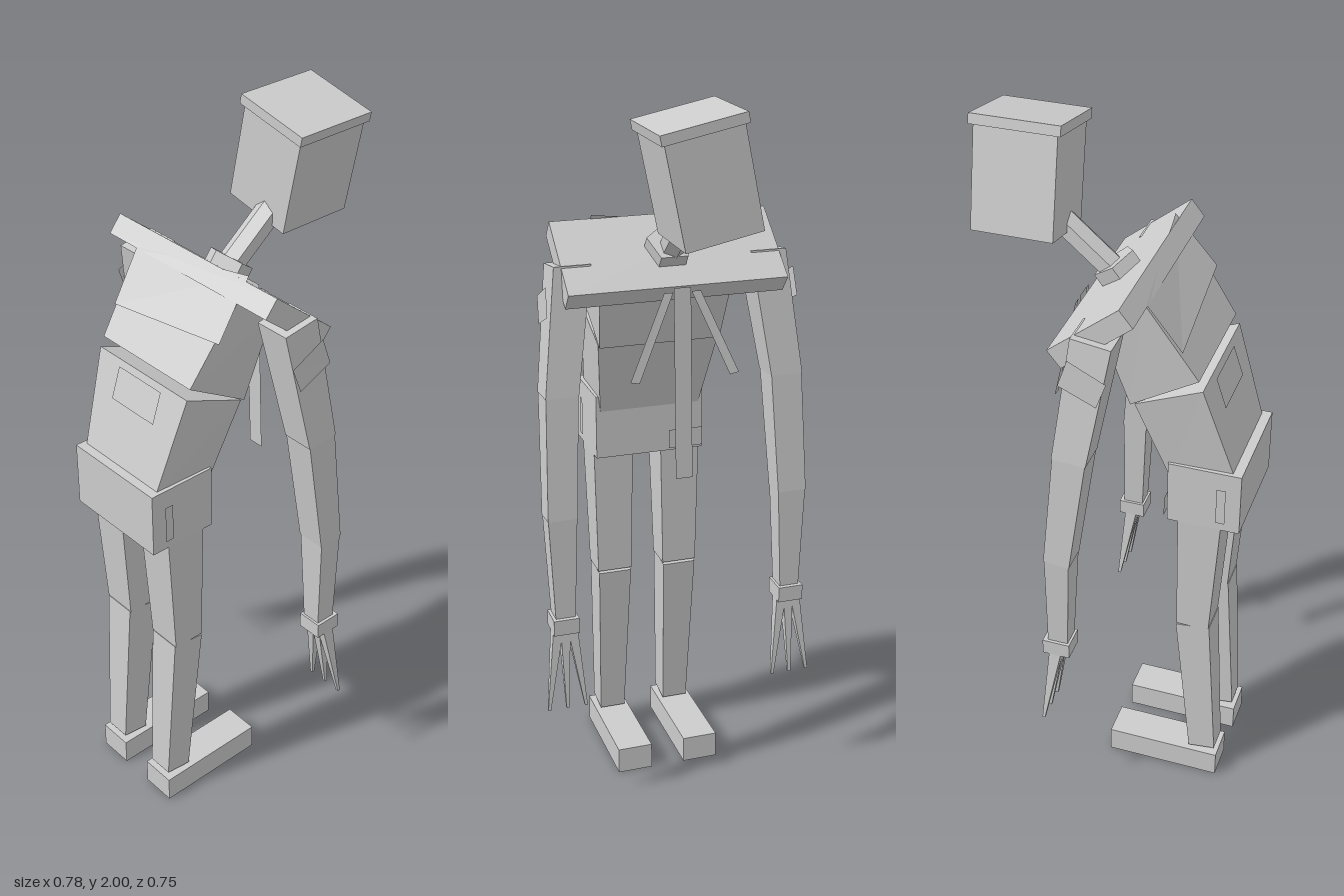
import * as THREE from 'three';

const grey = new THREE.MeshStandardMaterial({ color: 0xcccccc, flatShading: true, side: THREE.DoubleSide });
grey.name = 'plain grey';

function addMesh(parent, name, geometry) {
  const mesh = new THREE.Mesh(geometry, grey);
  mesh.name = name;
  parent.add(mesh);
  return mesh;
}

function fromTriangles(points) {
  const g = new THREE.BufferGeometry();
  g.setAttribute('position', new THREE.Float32BufferAttribute(points.flat(), 3));
  g.computeVertexNormals();
  return g;
}

// Four-sided tapered block. Sections run from bottom to top:
// [x0, x1, zFront, yFront, zBack, yBack]; side -1 mirrors it in x.
function loft(sections, side = 1) {
  const rings = sections.map(([a, b, zf, yf, zb, yb]) => {
    const [x0, x1] = side > 0 ? [a, b] : [-b, -a];
    return [[x0, yf, zf], [x1, yf, zf], [x1, yb, zb], [x0, yb, zb]];
  });
  const tris = [];
  const quad = (a, b, c, d) => tris.push(a, b, c, a, c, d);
  for (let s = 0; s < rings.length - 1; s++) {
    const lo = rings[s], hi = rings[s + 1];
    for (let i = 0; i < 4; i++) {
      const j = (i + 1) % 4;
      quad(lo[i], lo[j], hi[j], hi[i]);
    }
  }
  const [a, b, c, d] = rings[0];
  quad(d, c, b, a);
  quad(...rings[rings.length - 1]);
  return fromTriangles(tris);
}

// Flat sheet through four corners
function sheet(a, b, c, d) {
  return fromTriangles([a, b, c, a, c, d]);
}

function box(parent, name, x0, x1, y0, y1, z0, z1) {
  const m = addMesh(parent, name, new THREE.BoxGeometry(x1 - x0, y1 - y0, z1 - z0));
  m.position.set((x0 + x1) / 2, (y0 + y1) / 2, (z0 + z1) / 2);
  return m;
}

// Prism between two points
function rod(parent, name, from, to, radius, sides) {
  const a = new THREE.Vector3(...from), b = new THREE.Vector3(...to);
  const m = addMesh(parent, name, new THREE.CylinderGeometry(radius, radius, a.distanceTo(b), sides));
  m.position.copy(a).add(b).multiplyScalar(0.5);
  m.quaternion.setFromUnitVectors(new THREE.Vector3(0, 1, 0), b.clone().sub(a).normalize());
  return m;
}

export function createModel() {
  const model = new THREE.Group();
  model.name = 'hunchedFigure';

  // Torso
  box(model, 'pelvis', -0.158, 0.158, 0.945, 1.13, 0.175, 0.375);
  addMesh(model, 'abdomen', loft([
    [-0.145, 0.145, 0.352, 1.12, 0.177, 1.08],
    [-0.173, 0.173, 0.267, 1.385, 0.087, 1.31],
  ]));
  addMesh(model, 'chest', loft([
    [-0.172, 0.172, 0.256, 1.412, 0.075, 1.305],
    [-0.19, 0.19, 0.113, 1.625, 0.0, 1.53],
  ]));
  addMesh(model, 'chestPanel', sheet(
    [-0.176, 1.49, 0.213], [0.205, 1.53, 0.19], [0.188, 1.672, 0.078], [-0.19, 1.62, 0.122]));
  addMesh(model, 'bellyPatch', sheet(
    [-0.083, 1.285, 0.305], [0.083, 1.285, 0.305], [0.083, 1.37, 0.277], [-0.083, 1.37, 0.277]));

  // Sloping shoulder slab
  const slab = addMesh(model, 'shoulders', new THREE.BoxGeometry(0.6, 0.058, 0.24));
  slab.position.set(0, 1.563, 0.013);
  slab.rotation.x = -0.676;

  // Neck and head
  rod(model, 'collar', [0.005, 1.575, 0.0], [0.005, 1.612, -0.028], 0.063, 5);
  rod(model, 'neck', [0, 1.585, -0.02], [0.005, 1.735, -0.2], 0.036, 6);
  const head = new THREE.Group();
  head.name = 'head';
  head.position.set(-0.026, 1.687, -0.252);
  head.rotation.z = -0.204;
  model.add(head);
  box(head, 'skull', -0.103, 0.103, 0, 0.268, -0.11, 0.11);
  box(head, 'cap', -0.112, 0.112, 0.268, 0.295, -0.12, 0.12);

  // Hanging strips and back patch
  addMesh(model, 'longStrip', sheet(
    [-0.025, 0.985, -0.13], [0.022, 0.985, -0.13], [0.022, 1.51, -0.11], [-0.025, 1.51, -0.11]));
  addMesh(model, 'backPocket', sheet(
    [-0.155, 0.955, 0.165], [-0.055, 0.955, 0.165], [-0.055, 1.01, 0.165], [-0.155, 1.01, 0.165]));

  for (const s of [1, -1]) {
    const side = s > 0 ? 'left' : 'right';
    const m = (x, y, z) => [s * x, y, z];

    addMesh(model, side + 'ShortStrip', sheet(
      m(0.125, 1.27, -0.14), m(0.15, 1.275, -0.14), m(0.05, 1.5, -0.115), m(0.025, 1.5, -0.115)));
    addMesh(model, side + 'HipStrip', sheet(
      m(0.162, 0.97, 0.31), m(0.162, 0.97, 0.335), m(0.162, 1.08, 0.335), m(0.162, 1.08, 0.31)));

    // Legs
    const foot = box(model, side + 'Foot', -0.051, 0.051, 0, 0.077, 0.01, 0.34);
    foot.position.x = s * 0.101;
    addMesh(model, side + 'LowerLeg', loft([
      [0.063, 0.138, 0.33, 0.092, 0.252, 0.082],
      [0.051, 0.148, 0.302, 0.575, 0.205, 0.565],
    ], s));
    addMesh(model, side + 'UpperLeg', loft([
      [0.049, 0.15, 0.3, 0.572, 0.207, 0.572],
      [0.042, 0.158, 0.325, 0.96, 0.205, 0.96],
    ], s));

    // Arms
    addMesh(model, side + 'Forearm', loft([
      [0.302, 0.357, -0.043, 0.59, -0.1, 0.59],
      [0.29, 0.37, -0.03, 0.885, -0.098, 0.892],
    ], s));
    addMesh(model, side + 'MiddleArm', loft([
      [0.289, 0.371, -0.028, 0.885, -0.1, 0.892],
      [0.272, 0.36, 0.018, 1.222, -0.07, 1.228],
    ], s));
    addMesh(model, side + 'UpperArm', loft([
      [0.271, 0.361, 0.02, 1.222, -0.072, 1.228],
      [0.22, 0.32, 0.076, 1.555, -0.03, 1.57],
    ], s));
    addMesh(model, side + 'ShoulderPatch', sheet(
      m(0.342, 1.47, 0.07), m(0.342, 1.52, -0.03), m(0.346, 1.445, -0.055), m(0.346, 1.4, 0.045)));

    // Wristband and three pointed fingers
    const band = box(model, side + 'Wristband', -0.036, 0.036, 0.555, 0.6, -0.113, -0.036);
    band.position.x = s * 0.33;
    for (const k of [-1, 0, 1]) {
      const tip = 0.333 + k * 0.053, base = 0.33 + k * 0.02;
      addMesh(model, side + 'Finger', loft([
        [tip - 0.004, tip + 0.004, -0.105, 0.325, -0.113, 0.325],
        [base - 0.014, base + 0.014, -0.06, 0.565, -0.095, 0.565],
      ], s));
    }
  }
  return model;
}
